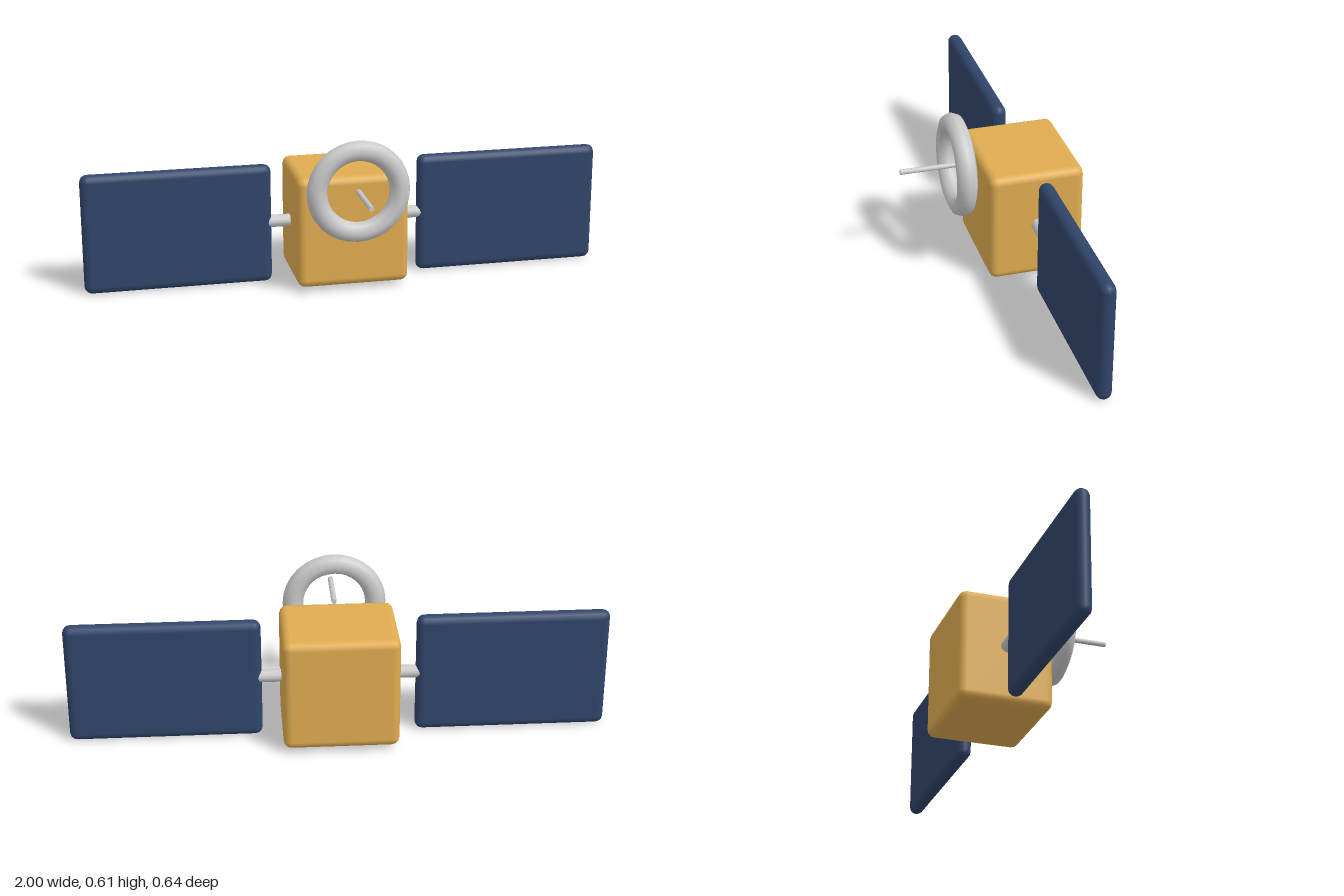
import * as THREE from 'three';
import { RoundedBoxGeometry } from 'three/addons/geometries/RoundedBoxGeometry.js';

export function createModel() {
  const model = new THREE.Group();
  model.name = 'satellite';

  const gold = new THREE.MeshStandardMaterial({ color: 0xe0ac50 });
  const navy = new THREE.MeshStandardMaterial({ color: 0x30456a });
  const grey = new THREE.MeshStandardMaterial({ color: 0xcccccc });

  function add(name, geometry, material, x, y, z) {
    const mesh = new THREE.Mesh(geometry, material);
    mesh.name = name;
    mesh.position.set(x, y, z);
    model.add(mesh);
    return mesh;
  }

  const bodyZ = -0.143;

  // Central body with softly rounded edges
  add('body', new RoundedBoxGeometry(0.426, 0.429, 0.358, 2, 0.03), gold, 0, 0.2325, bodyZ);

  // Solar panels and the arms that carry them, mirrored left and right
  for (const [side, s] of [['left', 1], ['right', -1]]) {
    add(side + 'Panel', new RoundedBoxGeometry(0.715, 0.465, 0.057, 2, 0.0285), navy, s * 0.6425, 0.2325, bodyZ);
    const arm = add(side + 'Arm', new THREE.CylinderGeometry(0.024, 0.024, 0.16, 12), grey, s * 0.25, 0.2375, bodyZ);
    arm.rotation.z = Math.PI / 2;
  }

  // Antenna ring floating ahead of the body, with its feed rod
  add('antennaRing', new THREE.TorusGeometry(0.156, 0.039, 8, 32), grey, 0, 0.412, 0.108);
  const rod = add('antennaRod', new THREE.CylinderGeometry(0.01, 0.01, 0.215, 8), grey, 0, 0.412, 0.2155);
  rod.rotation.x = Math.PI / 2;

  return model;
}
